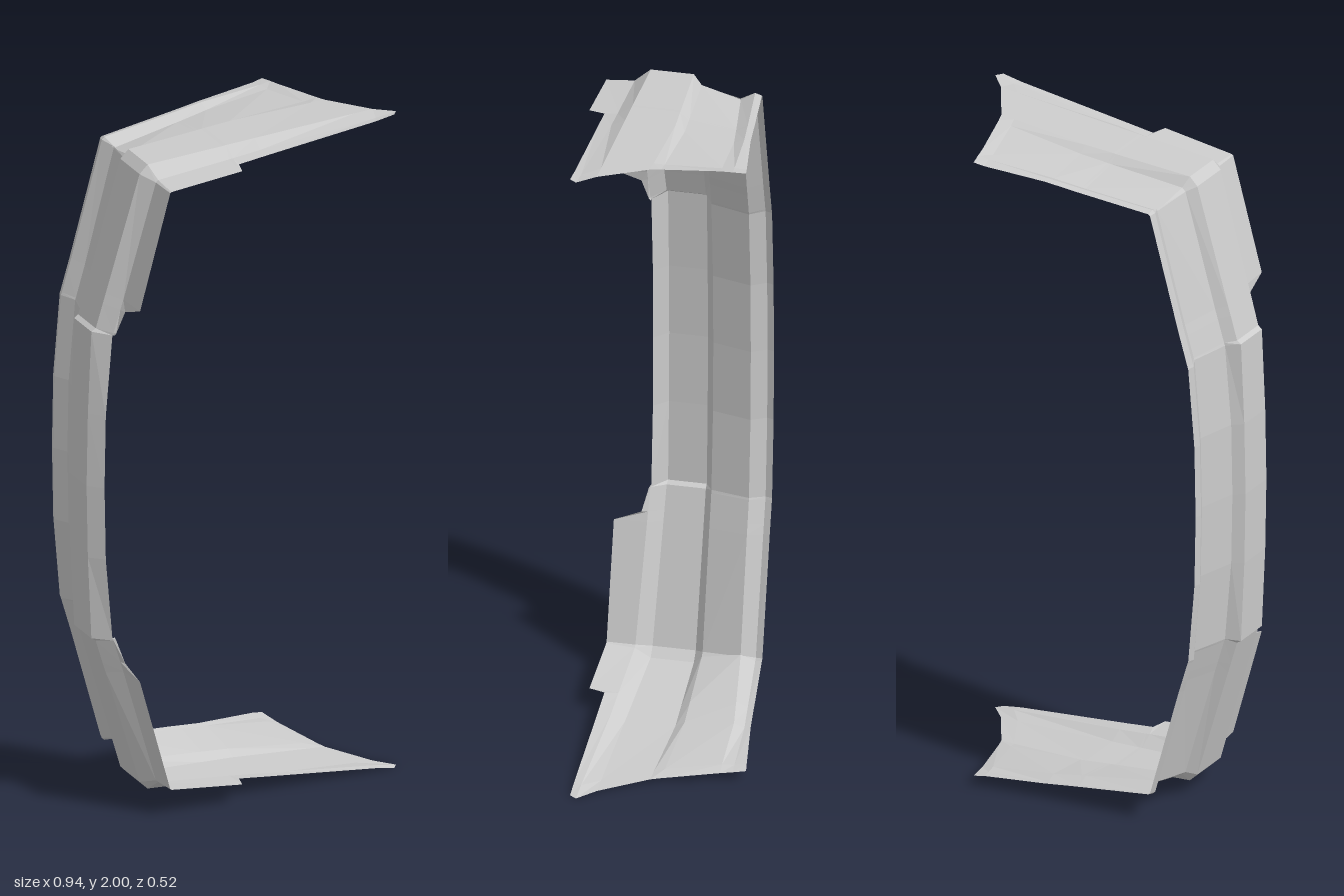
import * as THREE from 'three';

const material = new THREE.MeshStandardMaterial({ color: 0xcccccc, flatShading: true, side: THREE.DoubleSide });

// Cross-section, front edge to rear edge: how far each crease lies inside the outer panel
const DEPTH = [0.045, 0.038, 0, 0, 0.03, 0.06, 0.036, 0.042];
const Z_MID = [0.16, 0.16, 0.122, 0.01, -0.012, -0.127, -0.17, -0.19];
const Z_CORNER = [0.26, 0.178, 0.135, 0.01, -0.015, -0.13, -0.17, -0.19];
const Z_ARM = [0.212, 0.175, 0.135, -0.01, -0.037, -0.18, -0.21, -0.228];

// Flared free edge of an arm, as x, y, z for each crease
const TIP = [
  [0.455, 2.0, 0.205], [0.47, 2.0, 0.185], [0.42, 1.997, 0.135], [0.335, 1.99, 0],
  [0.325, 1.988, -0.03], [0.28, 1.977, -0.19], [0.273, 1.974, -0.225], [0.265, 1.97, -0.262],
];

const mix = (a, b, t) => a + (b - a) * t;

// One section at outer point (x, y) with inward direction (nx, ny)
function section(x, y, nx, ny, scale, zs, edgeZ, raise = 0) {
  return DEPTH.map((d, j) => {
    const depth = d * scale - (j === 2 || j === 3 ? raise : 0);
    return [x + nx * depth, y + ny * depth, j === 0 ? edgeZ : zs[j]];
  });
}

function blendZ(a, b, t) {
  return a.map((z, j) => mix(z, b[j], t));
}

// Sections from the middle up and round the corner to the tip
function upperSections() {
  const list = [
    section(-0.47, 1, 1, 0, 1, Z_MID, 0.16),
    section(-0.466, 1.22, 1, -0.03, 1, Z_MID, 0.16),
    section(-0.445, 1.468, 0.99, -0.13, 1, Z_MID, 0.161, 0.01),
    section(-0.442, 1.478, 0.98, -0.2, 1, blendZ(Z_MID, Z_CORNER, 0.1), 0.165),
    section(-0.421, 1.55, 0.96, -0.28, 1, blendZ(Z_MID, Z_CORNER, 0.25), 0.182),
    section(-0.412, 1.58, 0.96, -0.28, 1, blendZ(Z_MID, Z_CORNER, 0.3), 0.26),
    section(-0.31, 1.93, 0.84, -0.42, 0.95, Z_CORNER, 0.26),
    section(-0.285, 1.955, 0.35, -0.94, 0.95, Z_CORNER, 0.26),
    section(-0.05, 1.969, 0.05, -1, 0.68, blendZ(Z_CORNER, Z_ARM, 0.7), 0.26),
    section(-0.038, 1.97, 0.05, -1, 0.67, blendZ(Z_CORNER, Z_ARM, 0.73), 0.214),
  ];
  const arm = section(0.05, 1.975, 0, -1, 0.55, Z_ARM, 0.212);
  list.push(arm);
  // creases fade out just before the tip
  list.push(arm.map((p, j) => {
    const t = 0.85, q = TIP[j];
    const y = mix(1.975, q[1], t) - DEPTH[j] * 0.15;
    return [mix(p[0], q[0], t), y, mix(p[2], q[2], t)];
  }));
  list.push(TIP);
  return list;
}

// Sheet through the given sections, from crease j0 to crease j1
function sheet(name, sections, j0, j1) {
  const positions = [], index = [], n = j1 - j0 + 1;
  sections.forEach((s) => s.slice(j0, j1 + 1).forEach((p) => positions.push(...p)));
  for (let i = 0; i < sections.length - 1; i++) {
    for (let j = 0; j < n - 1; j++) {
      const a = i * n + j, b = a + n;
      index.push(a, b, b + 1, a, b + 1, a + 1);
    }
  }
  const geometry = new THREE.BufferGeometry();
  geometry.setAttribute('position', new THREE.Float32BufferAttribute(positions, 3));
  geometry.setIndex(index);
  geometry.computeVertexNormals();
  const mesh = new THREE.Mesh(geometry, material);
  mesh.name = name;
  return mesh;
}

export function createModel() {
  const group = new THREE.Group();
  group.name = 'wrapAroundPanel';
  const upper = upperSections();
  const lower = upper.map((s) => s.map(([x, y, z]) => [x, 2 - y, z])).reverse();
  const last = upper.length - 1;
  const corner = 7;

  // Long upright panel between the two corners
  const upright = [...lower.slice(last - corner), ...upper.slice(1, corner + 1)];
  group.add(sheet('uprightPanel', upright, 1, 7));

  // Arms with fading creases
  group.add(sheet('upperArm', upper.slice(corner), 1, 7));
  group.add(sheet('lowerArm', lower.slice(0, last - corner + 1), 1, 7));

  // Front flanges with their wider tabs
  group.add(sheet('upperFlange', upper.slice(2), 0, 1));
  group.add(sheet('lowerFlange', lower.slice(0, last - 1), 0, 1));
  return group;
}
